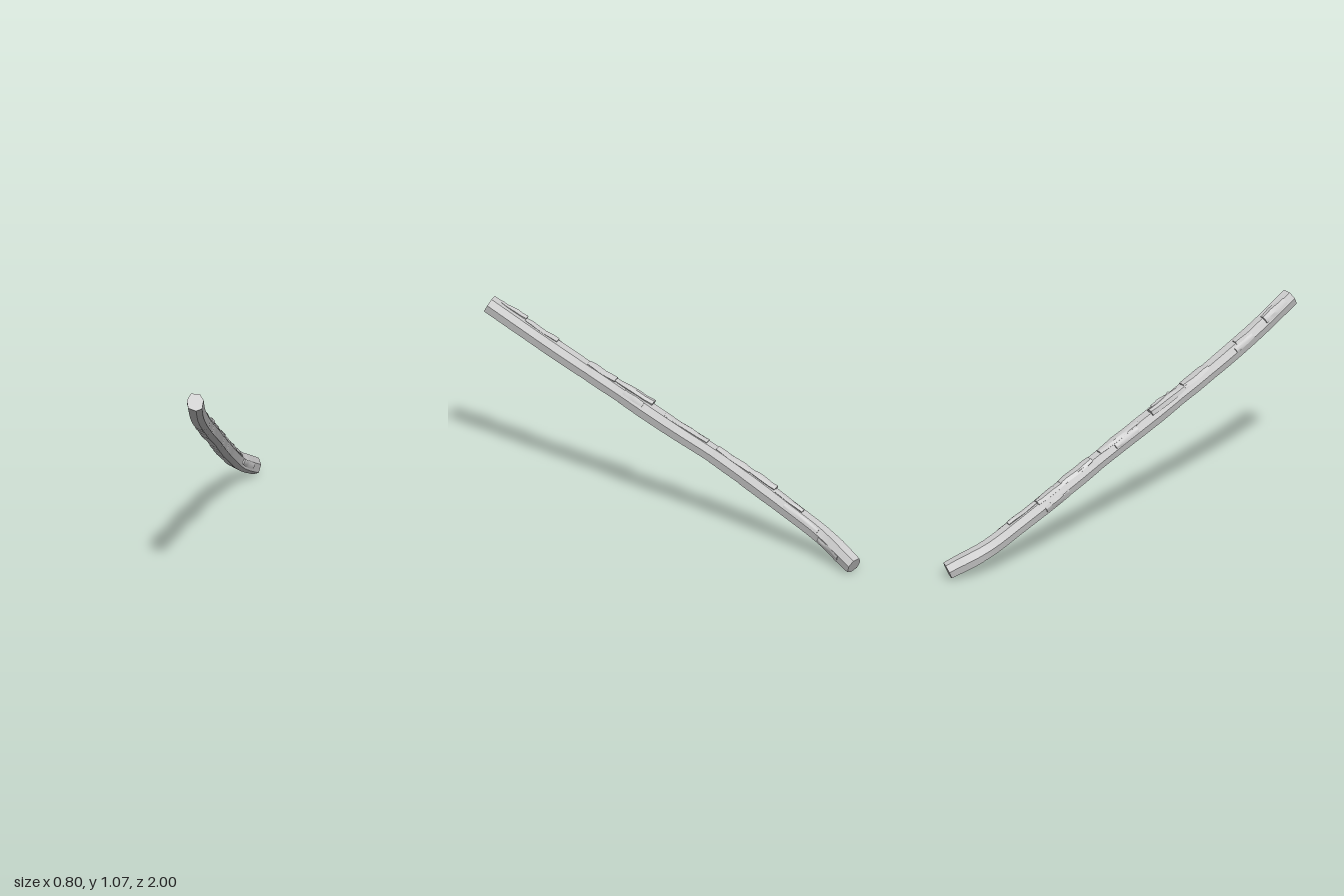
import * as THREE from 'three';
import { toCreasedNormals } from 'three/addons/utils/BufferGeometryUtils.js';

const END = 0.977;

// Centre line, evenly spaced in z from back to front
const XY = [[-0.354, 0.043], [-0.343, 0.128], [-0.284, 0.228], [-0.217, 0.33], [-0.143, 0.432], [-0.06, 0.526],
  [0.018, 0.62], [0.097, 0.717], [0.18, 0.815], [0.267, 0.92], [0.363, 1.036]];
const path = new THREE.CatmullRomCurve3(
  XY.map(([x, y], i) => new THREE.Vector3(x, y, -END + i * END / 5)), false, 'catmullrom', 0.5);

// Irregular six-sided section: [side, up]
const SECTION = [[0.043, 0.01], [0.023, 0.043], [-0.022, 0.043], [-0.042, 0.008], [-0.034, -0.032], [0.006, -0.046], [0.036, -0.034]];

// Sweep closed rings (counter-clockwise, equal size) along the path: stations are [z, ring]
function sweep(stations) {
  const pos = [], idx = [], n = stations[0][1].length;
  const up = new THREE.Vector3(0, 1, 0);
  for (const [z, ring] of stations) {
    const t = THREE.MathUtils.clamp((z + END) / (2 * END), 0, 1);
    const c = path.getPoint(t), T = path.getTangent(t);
    const S = up.clone().cross(T).normalize(), U = T.clone().cross(S);
    for (const [s, u] of ring) pos.push(...c.clone().addScaledVector(S, s).addScaledVector(U, u).toArray());
  }
  for (let k = 0; k < stations.length - 1; k++) {
    for (let i = 0; i < n; i++) {
      const a = k * n + i, b = k * n + (i + 1) % n;
      idx.push(a, b, b + n, a, b + n, a + n);
    }
  }
  const last = (stations.length - 1) * n;
  for (let i = 1; i < n - 1; i++) idx.push(0, i + 1, i, last, last + i, last + i + 1);
  const g = new THREE.BufferGeometry();
  g.setAttribute('position', new THREE.Float32BufferAttribute(pos, 3));
  g.setIndex(idx);
  return toCreasedNormals(g, 0.5);
}

// Distance from the axis to the section's outline at an angle
function outline(angle) {
  const dx = Math.cos(angle), dy = Math.sin(angle);
  let r = 0.04;
  SECTION.forEach(([x, y], i) => {
    const [x2, y2] = SECTION[(i + 1) % SECTION.length];
    const ex = x2 - x, ey = y2 - y, d = dx * ey - dy * ex;
    const t = (x * ey - y * ex) / d, q = (x * dy - y * dx) / d;
    if (t > 0 && q >= 0 && q <= 1) r = t;
  });
  return r;
}

// Raised plate of bark: span in z, centre angle and width in degrees, heights at both ends
function plate(z0, z1, angle, width, h0, h1) {
  const stations = [], count = 5;
  for (let k = 0; k <= count; k++) {
    const f = k / count, h = THREE.MathUtils.lerp(h0, h1, f) + 0.003 * Math.sin(f * 9 + z0 * 20);
    const w = width * (0.8 + 0.2 * Math.sin(f * Math.PI));
    const ring = [];
    for (let j = 0; j <= 3; j++) {
      const a = THREE.MathUtils.degToRad(angle + w * (j / 3 - 0.5));
      const r = outline(a) + (j === 0 || j === 3 ? 0.5 : 1) * h;
      ring.push([r * Math.cos(a), r * Math.sin(a)]);
    }
    const m = THREE.MathUtils.degToRad(angle);
    ring.push([0.015 * Math.cos(m), 0.015 * Math.sin(m)]);
    stations.push([THREE.MathUtils.lerp(z0, z1, f), ring]);
  }
  return sweep(stations);
}

export function createModel() {
  const group = new THREE.Group();
  const material = new THREE.MeshStandardMaterial({ color: 0xcccccc });
  const add = (name, geometry) => {
    const mesh = new THREE.Mesh(geometry, material);
    mesh.name = name;
    group.add(mesh);
  };

  // Stem: segments that swell a little and end in a small step
  const steps = [-END, -0.9, -0.81, -0.46, -0.33, -0.25, -0.17, 0.18, 0.3, 0.39, 0.47, 0.84, END];
  const stations = [];
  for (let k = 0; k < steps.length - 1; k++) {
    const [a, b] = [steps[k], steps[k + 1]];
    const count = Math.max(2, Math.round((b - a) / 0.05));
    const from = k % 2 ? 1.02 : 0.97, to = k % 2 ? 1.0 : 1.01;
    for (let i = 0; i <= count; i++) {
      const f = i / count, z = THREE.MathUtils.lerp(a + 0.002, b - 0.002, f);
      const s = THREE.MathUtils.lerp(from, to, f) + 0.02 * Math.sin(z * 13);
      stations.push([z, SECTION.map(([x, y]) => [x * s, y * s])]);
    }
  }
  stations[0][0] = -END;
  stations[stations.length - 1][0] = END;
  add('stem', sweep(stations));

  // Bark plates, mostly on the upper side
  const plates = [
    [0.82, 0.94, 125, 75, 0.016, 0.004], [0.66, 0.82, 105, 60, 0.008, 0.003],
    [0.64, 0.74, 150, 40, 0.01, 0.003], [0.36, 0.5, 100, 75, 0.01, 0.005],
    [0.17, 0.38, 110, 65, 0.022, 0.006], [0.2, 0.3, 55, 50, 0.008, 0.004],
    [-0.12, 0.1, 95, 60, 0.008, 0.004], [-0.05, 0.08, 145, 40, 0.011, 0.003],
    [-0.34, -0.17, 95, 70, 0.012, 0.006], [-0.475, -0.32, 100, 60, 0.018, 0.01],
    [-0.63, -0.475, 85, 40, 0.011, 0.004], [-0.74, -0.55, 35, 35, 0.005, 0.004],
    [-0.9, -0.76, -10, 45, 0.004, 0.009], [-0.46, -0.33, 185, 60, 0.007, 0.004],
  ];
  for (const p of plates) add('barkPlate', plate(...p));

  return group;
}
